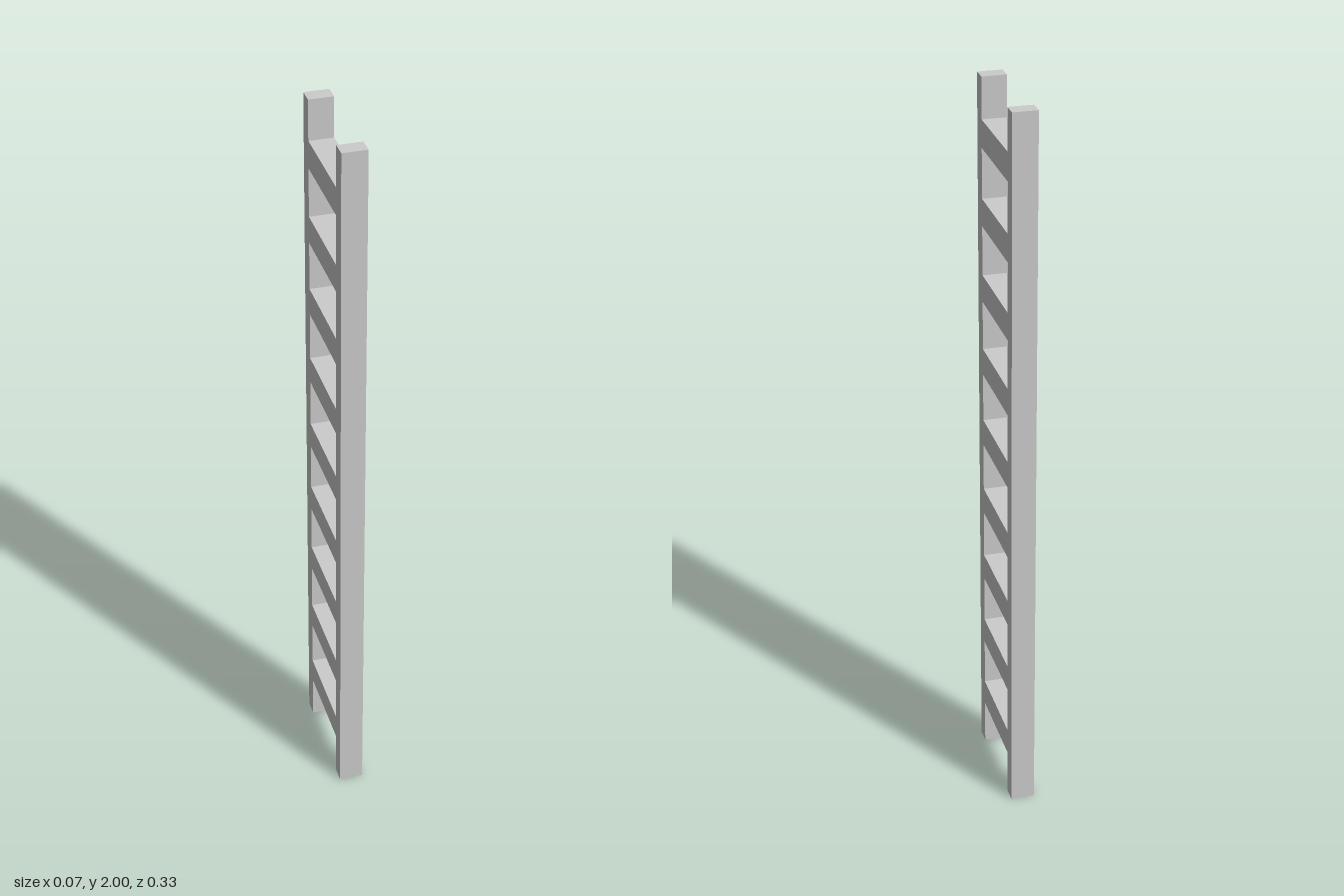
import * as THREE from 'three';

const HEIGHT = 2;
const DEPTH = 0.066;      // thickness along x
const HALF_WIDTH = 0.167; // outer edge of the rails along z
const RAIL = 0.043;       // rail width along z
const RUNGS = 9;
const RUNG_HEIGHT = 0.075;
const FIRST_RUNG = 0.168; // centre of the lowest rung
const SPACING = 0.2105;

export function createModel() {
  const ladder = new THREE.Group();
  ladder.name = 'ladder';
  const material = new THREE.MeshStandardMaterial({ color: 0xcccccc, flatShading: true });

  const addBox = (name, height, width, y, z) => {
    const mesh = new THREE.Mesh(new THREE.BoxGeometry(DEPTH, height, width), material);
    mesh.name = name;
    mesh.position.set(0, y, z);
    ladder.add(mesh);
  };

  // Two upright side rails
  for (const [name, side] of [['frontRail', 1], ['backRail', -1]]) {
    addBox(name, HEIGHT, RAIL, HEIGHT / 2, side * (HALF_WIDTH - RAIL / 2));
  }

  // Evenly spaced rungs, flush with the rails
  const rungWidth = 2 * (HALF_WIDTH - RAIL);
  for (let i = 0; i < RUNGS; i++) {
    addBox(`rung${i + 1}`, RUNG_HEIGHT, rungWidth, FIRST_RUNG + i * SPACING, 0);
  }

  return ladder;
}
